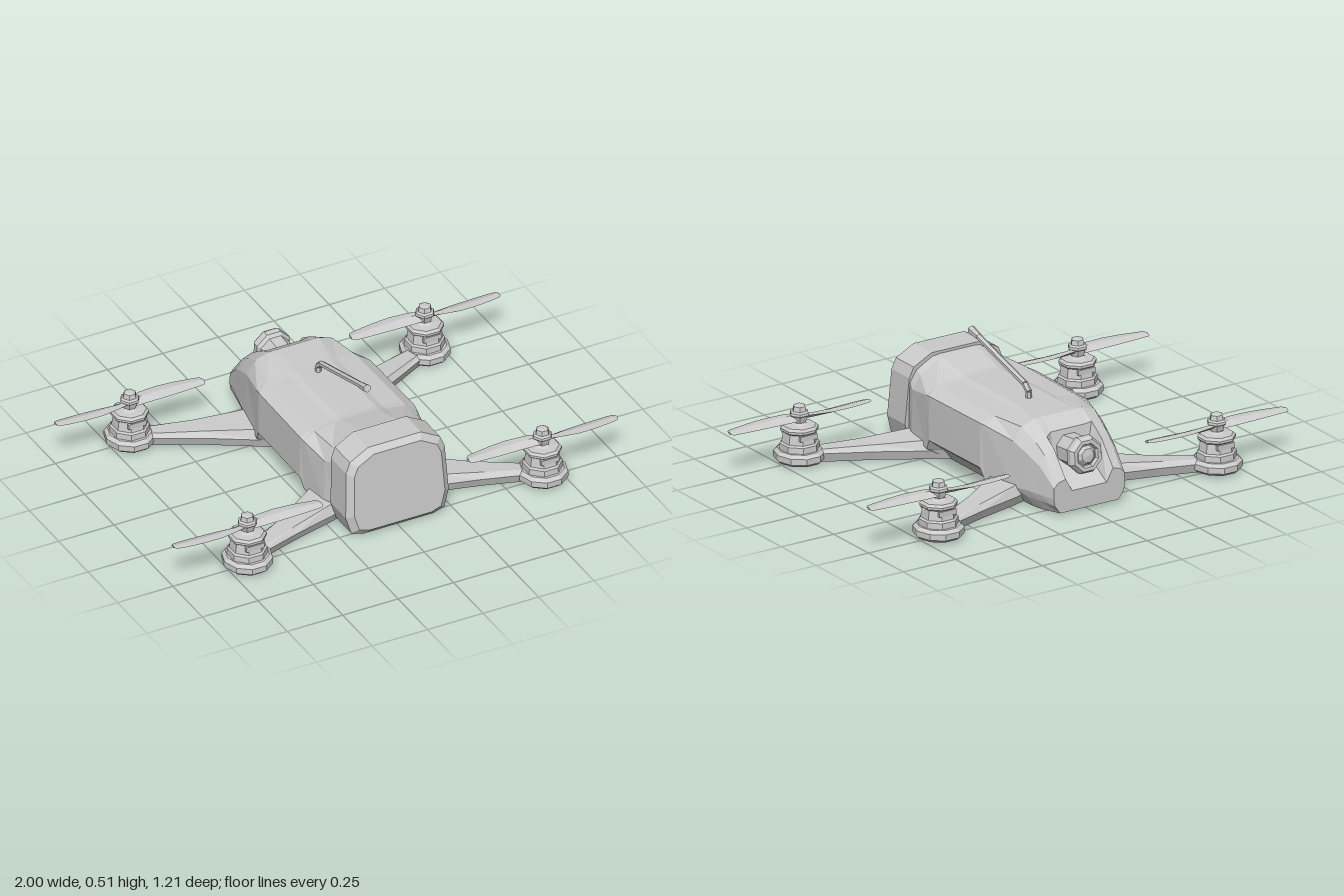
import * as THREE from 'three';

const material = new THREE.MeshStandardMaterial({ color: 0xcccccc, flatShading: true });

function part(name, geometry, parent) {
  const mesh = new THREE.Mesh(geometry, material);
  mesh.name = name;
  parent.add(mesh);
  return mesh;
}

// Skin over closed counter-clockwise [x, y] rings, ordered from +z to -z, with capped ends.
function loft(sections) {
  const pos = [], index = [], n = sections[0].ring.length;
  for (const { z, ring } of sections) for (const [x, y] of ring) pos.push(x, y, z);
  for (let s = 0; s < sections.length - 1; s++) {
    for (let i = 0; i < n; i++) {
      const a = s * n + i, b = s * n + (i + 1) % n;
      index.push(a, a + n, b, b, a + n, b + n);
    }
  }
  const cap = (s, flip) => {
    const outline = sections[s].ring.map(([x, y]) => new THREE.Vector2(x, y));
    for (const [a, b, c] of THREE.ShapeUtils.triangulateShape(outline, [])) {
      index.push(s * n + a, s * n + (flip ? c : b), s * n + (flip ? b : c));
    }
  };
  cap(0, false);
  cap(sections.length - 1, true);
  const g = new THREE.BufferGeometry();
  g.setAttribute('position', new THREE.Float32BufferAttribute(pos, 3));
  g.setIndex(index);
  const flat = g.toNonIndexed();
  flat.computeVertexNormals();
  return flat;
}

// Same skin running along +x, with rings given as [z, y].
const loftX = (sections) =>
  loft(sections.map(({ x, ring }) => ({ z: -x, ring }))).rotateY(-Math.PI / 2);

// Completes a right-hand outline (bottom to top) by mirroring it.
const mirrored = (half) => [...half, ...half.map(([x, y]) => [-x, y]).reverse()];

const lathe = (points, sides) => new THREE.LatheGeometry(
  points.map(([r, y]) => new THREE.Vector2(r, y)), sides, Math.PI / sides);

function rod(name, from, to, r0, r1, parent) {
  const a = new THREE.Vector3(...from), b = new THREE.Vector3(...to);
  const mesh = part(name, new THREE.CylinderGeometry(r1, r0, a.distanceTo(b), 6), parent);
  mesh.position.copy(a).lerp(b, 0.5);
  mesh.quaternion.setFromUnitVectors(new THREE.Vector3(0, 1, 0), b.sub(a).normalize());
}

function makeBody() {
  const body = new THREE.Group();
  body.name = 'body';
  // Hull stations: z, rail height, centre height (drops in the camera recess), side outline
  const hull = [
    [0.40, 0.38, 0.382, [[0.18, 0.006], [0.205, 0.06], [0.21, 0.08], [0.21, 0.29], [0.185, 0.335]]],
    [0.34, 0.368, 0.374, [[0.18, 0.004], [0.22, 0.05], [0.235, 0.07], [0.23, 0.265], [0.195, 0.322]]],
    [0.205, 0.333, 0.343, [[0.16, 0.002], [0.235, 0.05], [0.252, 0.06], [0.253, 0.29], [0.205, 0.322]]],
    [0.18, 0.33, 0.341, [[0.15, 0.002], [0.185, 0.05], [0.258, 0.105], [0.256, 0.293], [0.205, 0.322]]],
    [-0.18, 0.33, 0.34, [[0.15, 0.002], [0.185, 0.05], [0.255, 0.105], [0.252, 0.293], [0.2, 0.322]]],
    [-0.205, 0.332, 0.34, [[0.16, 0.002], [0.23, 0.05], [0.248, 0.06], [0.247, 0.291], [0.2, 0.322]]],
    [-0.36, 0.342, 0.342, [[0.17, 0.004], [0.205, 0.05], [0.22, 0.075], [0.212, 0.265], [0.175, 0.32]]],
    [-0.43, 0.305, 0.3, [[0.17, 0.006], [0.195, 0.05], [0.205, 0.08], [0.198, 0.235], [0.165, 0.285]]],
    [-0.45, 0.292, 0.2, [[0.168, 0.006], [0.19, 0.05], [0.2, 0.08], [0.194, 0.225], [0.163, 0.275]]],
    [-0.50, 0.258, 0.15, [[0.16, 0.008], [0.18, 0.05], [0.188, 0.08], [0.183, 0.2], [0.158, 0.24]]],
    [-0.585, 0.155, 0.1, [[0.14, 0.015], [0.165, 0.05], [0.17, 0.08], [0.168, 0.125], [0.15, 0.145]]],
  ];
  part('hull', loft(hull.map(([z, rail, centre, side]) => (
    { z, ring: mirrored([...side, [0.113, rail], [0.082, centre]]) }))), body);

  // Chamfered nose block, leaning back
  const nose = [[0.16, 0.008], [0.21, 0.025], [0.232, 0.1], [0.222, 0.3], [0.203, 0.345], [0.12, 0.39]];
  const inset = (k) => mirrored(nose.map(([x, y]) => [x * k, 0.2 + (y - 0.2) * k]));
  const noseGeometry = loft([
    { z: 0.55, ring: inset(0.88) },
    { z: 0.528, ring: inset(1) },
    { z: 0.40, ring: inset(1) },
  ]);
  const p = noseGeometry.attributes.position;
  for (let i = 0; i < p.count; i++) p.setZ(i, p.getZ(i) - 0.08 * p.getY(i));
  noseGeometry.computeVertexNormals();
  part('noseBlock', noseGeometry, body);

  // Rear camera with a recessed lens
  const camera = part('camera', lathe([
    [0, -0.07], [0.068, -0.07], [0.068, 0.055], [0.08, 0.068], [0.08, 0.092],
    [0.068, 0.108], [0.052, 0.108], [0.046, 0.096], [0, 0.096],
  ], 8), body);
  camera.position.set(0, 0.217, -0.468);
  camera.rotation.x = -Math.PI / 2 + 0.1;
  const lens = part('lens', lathe([[0.044, 0.093], [0.03, 0.108], [0, 0.112]], 8), body);
  lens.position.copy(camera.position);
  lens.rotation.copy(camera.rotation);

  // Bent antenna with a thicker tip
  const bend = [[0, 0.33, -0.15], [0, 0.365, -0.15], [0, 0.39, -0.122], [0, 0.484, 0.21]];
  for (let i = 0; i < 3; i++) rod('antenna', bend[i], bend[i + 1], 0.013, 0.013, body);
  rod('antennaTip', bend[3], [0, 0.499, 0.265], 0.014, 0.017, body);
  return body;
}

// Arm, pad and motor at +x, +z
function makeArm() {
  const arm = new THREE.Group();
  arm.name = 'arm';
  const beam = [[0.12, 0.14, 0.37, 0.1], [0.23, 0.21, 0.405, 0.085], [0.42, 0.325, 0.455, 0.068], [0.64, 0.44, 0.525, 0.056]];
  part('beam', loftX(beam.map(([x, z0, z1, top]) => ({
    x,
    ring: [[z0 + 0.015, 0.006], [z1 - 0.015, 0.006], [z1, 0.045], [z1 - 0.02, top], [z0 + 0.02, top], [z0, 0.045]],
  }))), arm);

  const motor = new THREE.Group();
  motor.name = 'motor';
  motor.position.set(0.665, 0, 0.5);
  arm.add(motor);
  const pad = part('motorPad', lathe([
    [0, 0.006], [0.094, 0.01], [0.108, 0.022], [0.108, 0.047], [0.092, 0.06], [0, 0.063],
  ], 10), motor);
  pad.scale.x = 0.95;
  part('motorBell', lathe([
    [0.083, 0.055], [0.081, 0.085], [0.073, 0.092], [0.067, 0.132], [0.078, 0.14],
    [0.078, 0.15], [0.068, 0.16], [0.036, 0.163], [0.022, 0.17], [0.022, 0.19], [0, 0.19],
  ], 8), motor);
  for (const side of [-1, 1]) {
    part('motorWindow', new THREE.BoxGeometry(0.08, 0.022, 0.012), motor).position.set(0, 0.122, side * 0.063);
  }
  return arm;
}

// Two-bladed propeller with gently twisted blades and a hub nut
function makePropeller() {
  const propeller = new THREE.Group();
  propeller.name = 'propeller';
  const stations = [
    // x, leading z, trailing z, pitch, half thickness
    [0, -0.022, 0.022, 0.010, 0.011],
    [0.06, -0.036, 0.022, 0.010, 0.010],
    [0.14, -0.046, 0.025, 0.007, 0.008],
    [0.22, -0.042, 0.026, 0.005, 0.007],
    [0.30, -0.031, 0.025, 0.003, 0.006],
    [0.325, -0.025, 0.023, 0.003, 0.006],
    [0.334, -0.015, 0.015, 0.002, 0.005],
  ];
  const blade = loftX(stations.map(([x, z0, z1, pitch, t]) => {
    const mid = (z0 + z1) / 2;
    return { x, ring: [[z0, pitch], [mid, -t], [z1, -pitch], [mid, t]] };
  }));
  for (const turn of [0, Math.PI]) part('blade', blade, propeller).rotation.y = turn;
  part('hubNut', lathe([
    [0, -0.018], [0.028, -0.018], [0.034, 0.005], [0.042, 0.012], [0.04, 0.022],
    [0.03, 0.028], [0.026, 0.048], [0.016, 0.054], [0, 0.054],
  ], 6), propeller);
  return propeller;
}

export function createModel() {
  const model = new THREE.Group();
  model.name = 'racingDrone';
  model.add(makeBody());
  for (const sx of [1, -1]) {
    for (const sz of [1, -1]) {
      const arm = makeArm();
      arm.scale.set(sx, 1, sz);
      model.add(arm);
      const propeller = makePropeller();
      propeller.position.set(sx * 0.665, 0.191, sz * 0.5);
      propeller.scale.x = -sx;
      model.add(propeller);
    }
  }
  return model;
}
